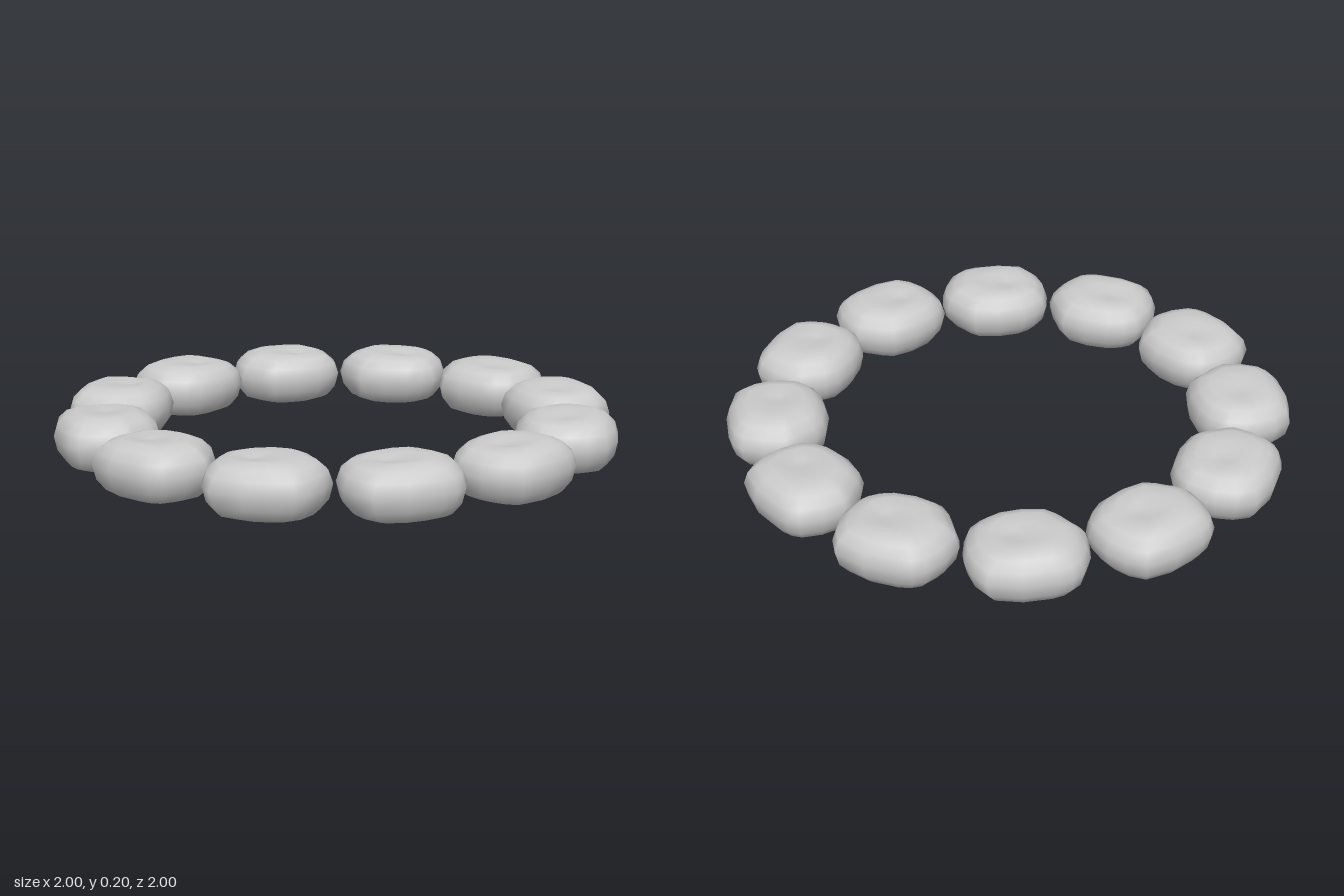
import * as THREE from 'three';

const STONES = 12;
const SIDES = 20;

// Plan outline of one stone (x along the ring, -z outward), clockwise from above
const OUTLINE = [
  [0.095, 0.17], [-0.095, 0.17], [-0.165, 0.095], [-0.206, 0.03], [-0.165, -0.127],
  [-0.08, -0.17], [0.148, -0.153], [0.206, -0.026], [0.2, 0.053], [0.185, 0.106],
];

// Layers from underside to top: [outline scale, height]
const LAYERS = [
  [0.3, 0.004], [0.56, 0.008], [0.8, 0.025], [0.94, 0.06], [1, 0.11],
  [0.93, 0.153], [0.77, 0.182], [0.56, 0.198], [0.28, 0.197],
];

// Shallow dent in the upper face
function dent(x, y, z) {
  const d2 = (x - 0.05) ** 2 + (z - 0.01) ** 2;
  return y > 0.15 ? y - 0.016 * Math.exp(-d2 / 0.004) : y;
}

// Pebble lofted through scaled copies of the outline, closed by two fans
function stoneGeometry() {
  const curve = new THREE.CatmullRomCurve3(
    OUTLINE.map(([x, z]) => new THREE.Vector3(x, 0, z)), true, 'centripetal');
  const positions = [];
  const index = [];
  for (const [s, y] of LAYERS) {
    for (let j = 0; j < SIDES; j++) {
      const p = curve.getPoint(j / SIDES).multiplyScalar(s);
      positions.push(p.x, dent(p.x, y, p.z), p.z);
    }
  }
  const bottom = LAYERS.length * SIDES;
  const top = bottom + 1;
  positions.push(0, 0, 0, 0, dent(0, 0.198, 0), 0);

  const last = (LAYERS.length - 1) * SIDES;
  for (let j = 0; j < SIDES; j++) {
    const k = (j + 1) % SIDES;
    for (let r = 0; r < last; r += SIDES) {
      index.push(r + j, r + SIDES + j, r + k);
      index.push(r + k, r + SIDES + j, r + SIDES + k);
    }
    index.push(bottom, j, k);
    index.push(top, last + k, last + j);
  }
  const geometry = new THREE.BufferGeometry();
  geometry.setAttribute('position', new THREE.Float32BufferAttribute(positions, 3));
  geometry.setIndex(index);
  geometry.computeVertexNormals();
  return geometry;
}

export function createModel() {
  const ring = new THREE.Group();
  ring.name = 'stoneRing';
  const material = new THREE.MeshStandardMaterial({ color: 0xcccccc });
  const geometry = stoneGeometry();
  geometry.translate(0.042, 0, -0.822);

  // The same stone repeated around the circle
  for (let i = 0; i < STONES; i++) {
    const stone = new THREE.Mesh(geometry, material);
    stone.name = `stone${i + 1}`;
    stone.rotation.y = (-i * Math.PI * 2) / STONES;
    stone.position.set(-0.005, 0, -0.008);
    ring.add(stone);
  }
  return ring;
}
